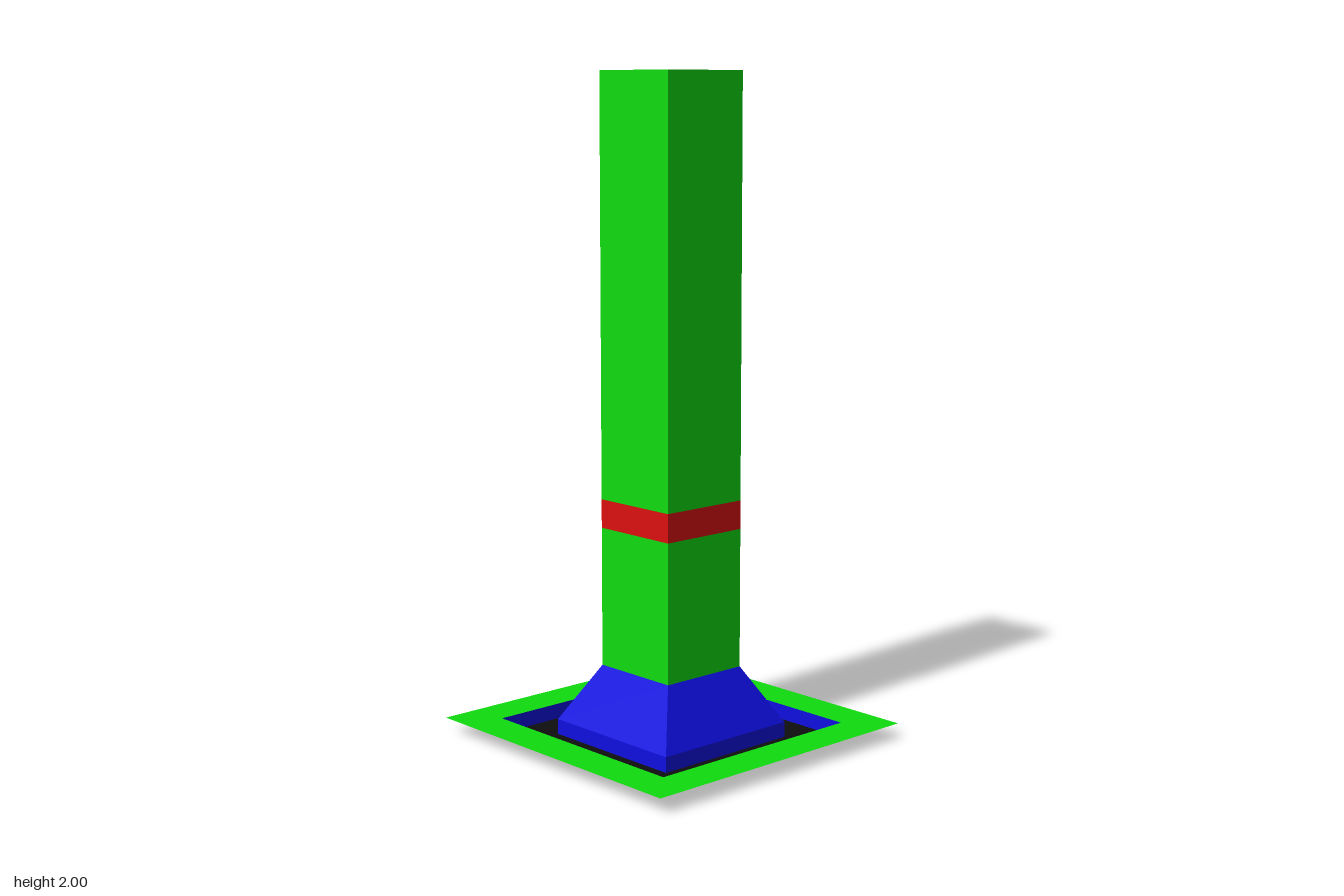
import * as THREE from 'three';

const paint = (name, color) =>
  new THREE.MeshStandardMaterial({ name, color, flatShading: true, side: THREE.DoubleSide });

export function createModel() {
  const green = paint('green', 0x0fdc0f);
  const red = paint('red', 0xdc0f0f);
  const blue = paint('blue', 0x0f0fe0);
  const black = paint('black', 0x0e0e0e);
  const model = new THREE.Group();
  model.name = 'squarePost';

  const add = (name, geometry, material) => {
    const mesh = new THREE.Mesh(geometry, material);
    mesh.name = name;
    model.add(mesh);
  };

  // Open square sleeve; half widths at its bottom and top
  const sleeve = (name, material, y0, y1, half0, half1 = half0) => {
    const g = new THREE.CylinderGeometry(half1 * Math.SQRT2, half0 * Math.SQRT2, y1 - y0, 4, 1, true)
      .rotateY(Math.PI / 4)
      .translate(0, (y0 + y1) / 2, 0)
      .toNonIndexed();
    g.computeVertexNormals();
    add(name, g, material);
  };

  // Flat square frame facing up
  const frame = (name, material, y, inner, outer) =>
    add(name, new THREE.RingGeometry(inner * Math.SQRT2, outer * Math.SQRT2, 4, 1, Math.PI / 4)
      .rotateX(-Math.PI / 2).translate(0, y, 0), material);

  const post = 0.147, skirt = 0.244, trough = 0.365, border = 0.487;
  const rim = 0.047, neck = 0.22;

  // Sunken base: border, trough walls and floor
  frame('baseBorder', green, rim, trough, border);
  sleeve('troughWall', blue, 0, rim, trough);
  frame('troughFloor', black, 0, skirt, trough);

  // Hollow skirt rising from the floor to the post
  sleeve('skirtRim', blue, 0, rim, skirt);
  sleeve('skirtSlope', blue, rim, neck, skirt, post);

  // Hollow post with a band and a closed top
  sleeve('lowerPost', green, neck, 0.645, post);
  sleeve('postBand', red, 0.645, 0.732, post);
  sleeve('upperPost', green, 0.732, 2, post);
  add('postCap', new THREE.PlaneGeometry(post * 2, post * 2)
    .rotateX(-Math.PI / 2).translate(0, 2, 0), black);

  return model;
}
